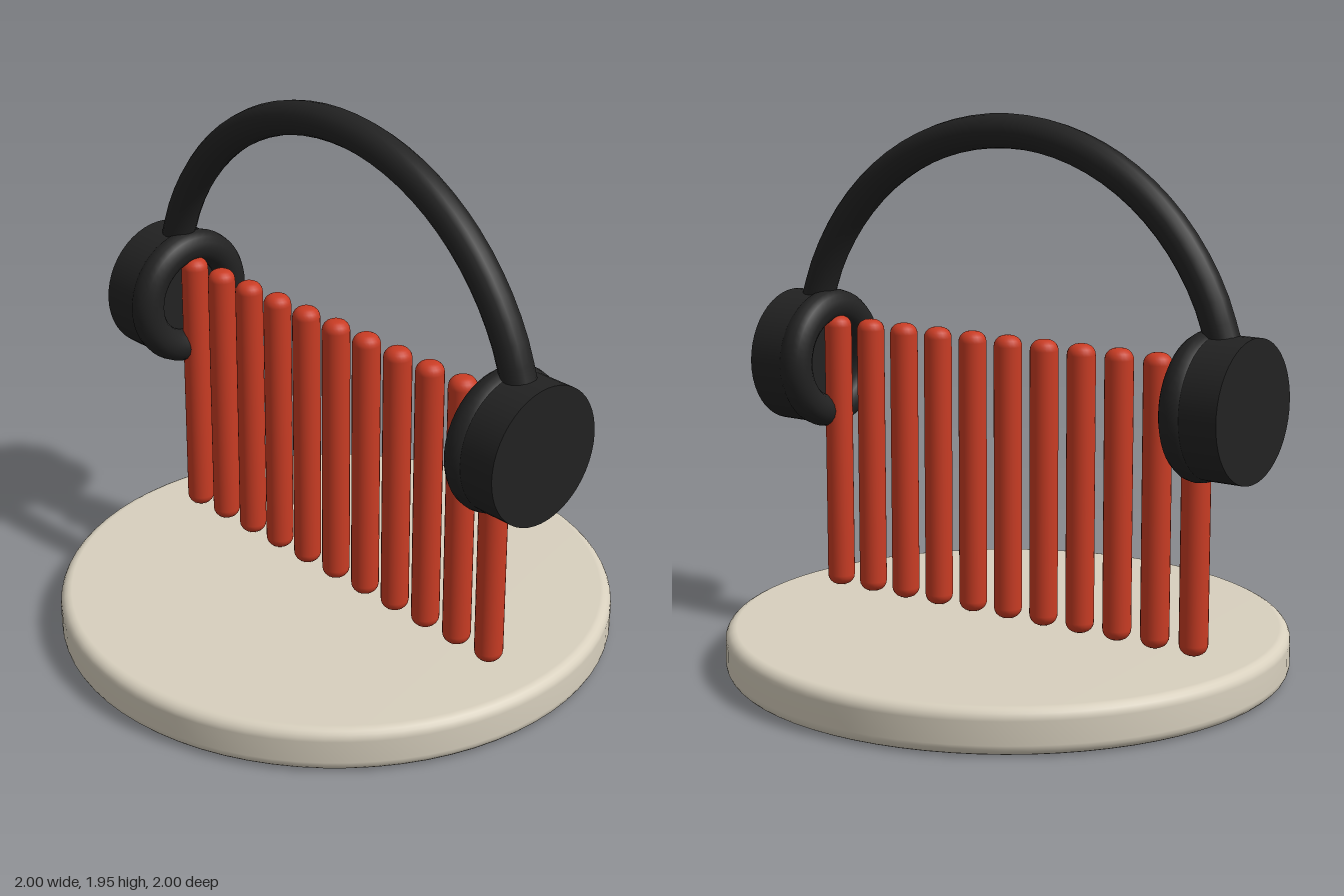
import * as THREE from 'three';

const red = new THREE.MeshStandardMaterial({ color: 0xc93c24 });
red.name = 'red bars';
const cream = new THREE.MeshStandardMaterial({ color: 0xd8d0be });
cream.name = 'cream base';
const black = new THREE.MeshStandardMaterial({ color: 0x222222 });
black.name = 'black headset';

// Solid of revolution from y0 to y1 with rounded rims
function roundedDisc(radius, y0, y1, rim, segments) {
  const points = [new THREE.Vector2(0, y0)];
  const steps = 5;
  for (let i = 0; i <= steps; i++) {
    const a = -Math.PI / 2 + (i / steps) * Math.PI / 2;
    points.push(new THREE.Vector2(radius - rim + rim * Math.cos(a), y0 + rim + rim * Math.sin(a)));
  }
  for (let i = 0; i <= steps; i++) {
    const a = (i / steps) * Math.PI / 2;
    points.push(new THREE.Vector2(radius - rim + rim * Math.cos(a), y1 - rim + rim * Math.sin(a)));
  }
  points.push(new THREE.Vector2(0, y1));
  return new THREE.LatheGeometry(points, segments);
}

function add(parent, name, geometry, material) {
  const mesh = new THREE.Mesh(geometry, material);
  mesh.name = name;
  parent.add(mesh);
  return mesh;
}

export function createModel() {
  const model = new THREE.Group();
  model.name = 'headsetOnBars';

  // Round stand
  add(model, 'base', roundedDisc(1, 0.005, 0.165, 0.04, 72), cream);

  // Row of upright bars
  const bars = new THREE.Group();
  bars.name = 'bars';
  model.add(bars);
  const barGeometry = roundedDisc(0.05, 0.17, 1.187, 0.038, 24);
  for (let i = -5; i <= 5; i++) {
    add(bars, 'bar', barGeometry, red).position.x = i * 0.1535;
  }

  // Headband arc, with its ends sunk into the ear cups
  const headset = new THREE.Group();
  headset.name = 'headset';
  model.add(headset);
  const arc = [];
  const start = THREE.MathUtils.degToRad(15);
  for (let i = 0; i <= 16; i++) {
    const a = start + (i / 16) * (Math.PI - 2 * start);
    arc.push(new THREE.Vector3(0.897 * Math.cos(a), 0.998 + 0.897 * Math.sin(a), 0));
  }
  const band = new THREE.TubeGeometry(new THREE.CatmullRomCurve3(arc), 32, 0.06, 16);
  add(headset, 'headband', band, black);

  // Ear cups and ring cushions, one pair per side
  const cup = new THREE.CylinderGeometry(0.243, 0.243, 0.16, 48).rotateZ(Math.PI / 2);
  const cushion = new THREE.TorusGeometry(0.195, 0.06, 16, 48).rotateY(Math.PI / 2);
  for (const side of [-1, 1]) {
    add(headset, 'earCup', cup, black).position.set(side * 0.9, 1.027, 0);
    add(headset, 'earCushion', cushion, black).position.set(side * 0.806, 1.027, 0);
  }
  return model;
}
